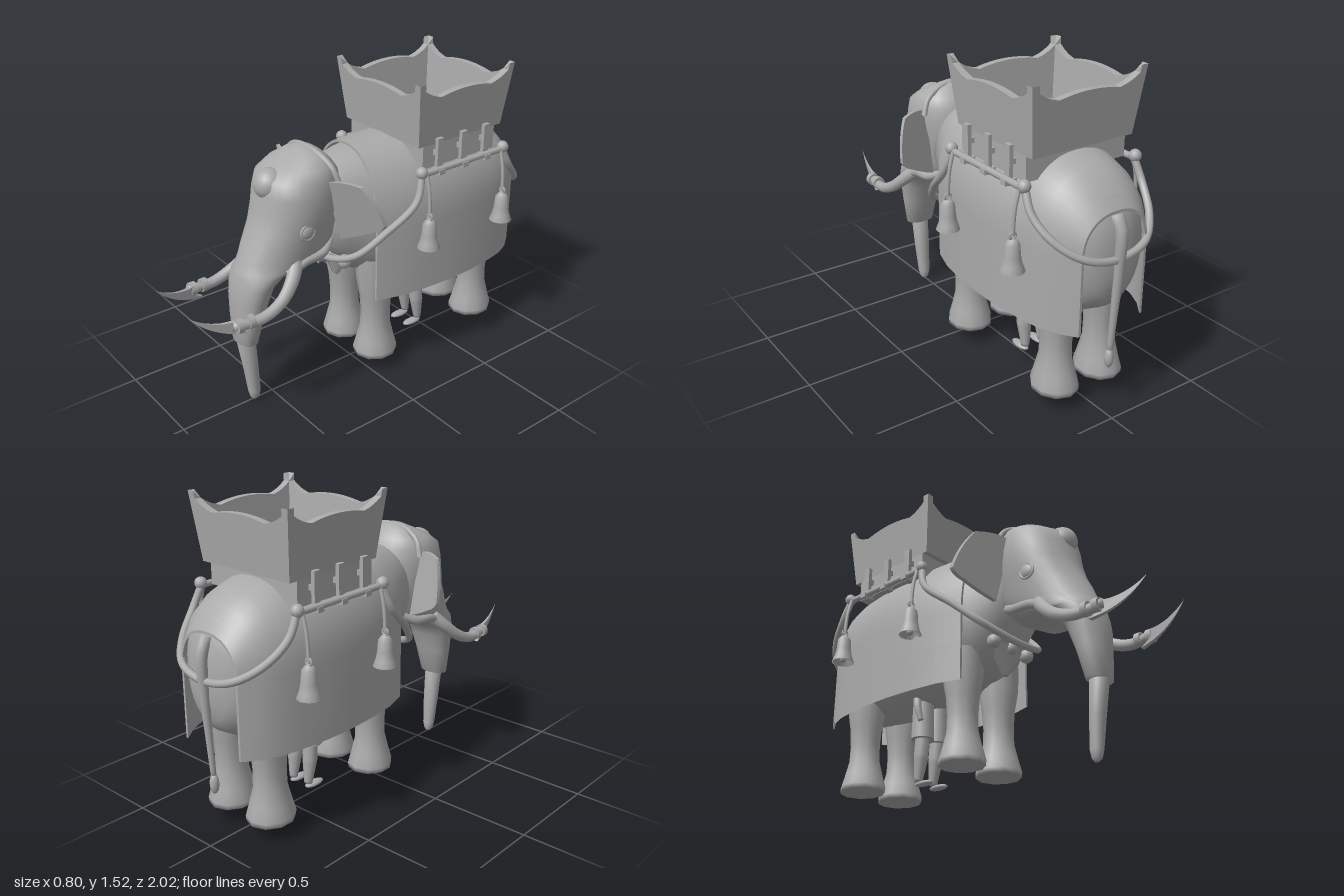
import * as THREE from 'three';

const V = (x, y, z) => new THREE.Vector3(x, y, z);
const stone = new THREE.MeshStandardMaterial({ color: 0xaaaaaa, side: THREE.DoubleSide });
stone.name = 'grey stone';

export function createModel() {
  const group = new THREE.Group();
  const add = (name, geo, x = 0, y = 0, z = 0) => {
    const m = new THREE.Mesh(geo, stone);
    m.name = name;
    m.position.set(x, y, z);
    group.add(m);
    return m;
  };
  // surface through rings of points, optionally closed around and capped
  const loft = (rings, closed = true) => {
    const n = rings[0].length, pos = [], idx = [];
    rings.forEach(r => r.forEach(p => pos.push(p.x, p.y, p.z)));
    const cols = closed ? n : n - 1;
    for (let i = 0; i < rings.length - 1; i++) for (let j = 0; j < cols; j++) {
      const a = i * n + j, b = i * n + (j + 1) % n;
      idx.push(a, b, a + n, b, b + n, a + n);
    }
    if (closed) [0, rings.length - 1].forEach((k, e) => {
      const c = rings[k].reduce((s, p) => s.add(p), V(0, 0, 0)).divideScalar(n);
      const ci = pos.length / 3;
      pos.push(c.x, c.y, c.z);
      for (let j = 0; j < n; j++) {
        const a = k * n + j, b = k * n + (j + 1) % n;
        e ? idx.push(a, b, ci) : idx.push(b, a, ci);
      }
    });
    const g = new THREE.BufferGeometry();
    g.setAttribute('position', new THREE.Float32BufferAttribute(pos, 3));
    g.setIndex(idx);
    g.computeVertexNormals();
    return g;
  };
  // rounded-box style ring, power 2 is an ellipse
  const oval = (n, power, place) => Array.from({ length: n }, (_, i) => {
    const a = i / n * Math.PI * 2, f = v => Math.sign(v) * Math.abs(v) ** (2 / power);
    return place(f(Math.cos(a)), f(Math.sin(a)));
  });
  const tube = (name, pts, r, seg = 30) =>
    add(name, new THREE.TubeGeometry(new THREE.CatmullRomCurve3(pts), seg, r, 8));
  // tube whose radius shrinks along its length
  const taper = (name, pts, radii) => {
    const curve = new THREE.CatmullRomCurve3(pts), rings = [];
    const frames = curve.computeFrenetFrames(20);
    for (let i = 0; i <= 20; i++) {
      const t = i / 20 * (radii.length - 1), k = Math.min(Math.floor(t), radii.length - 2);
      const r = radii[k] + (radii[k + 1] - radii[k]) * (t - k), c = curve.getPointAt(i / 20);
      rings.push(oval(10, 2, (u, v) => c.clone()
        .addScaledVector(frames.normals[i], u * r).addScaledVector(frames.binormals[i], v * r)));
    }
    return add(name, loft(rings));
  };

  // body: z, half width, top, bottom
  const body = [[0.22, 0.15, 1.15, 0.76], [0.13, 0.18, 1.17, 0.66], [0.04, 0.22, 1.19, 0.56],
    [-0.1, 0.265, 1.2, 0.5], [-0.4, 0.295, 1.205, 0.48], [-0.62, 0.285, 1.19, 0.48], [-0.75, 0.265, 1.165, 0.48],
    [-0.85, 0.235, 1.115, 0.5], [-0.92, 0.185, 1.05, 0.54], [-0.96, 0.12, 0.97, 0.6], [-0.975, 0.05, 0.87, 0.7]];
  add('body', loft(body.map(([z, w, t, b]) =>
    oval(32, 2.2, (u, v) => V(u * w, (t + b) / 2 + v * (t - b) / 2, z)))));

  // blanket: arch over the back, then straight sides
  const cloth = [[0.03, 0.245, 1.215], [-0.1, 0.285, 1.215], [-0.25, 0.304, 1.215], [-0.4, 0.312, 1.213],
    [-0.55, 0.308, 1.203], [-0.7, 0.29, 1.183], [-0.8, 0.27, 1.15], [-0.88, 0.235, 1.1], [-0.955, 0.18, 1.0]];
  const arch = inset => cloth.map(([z, w, t]) => {
    const ring = [V(-w + inset, 0.46, z), V(-w + inset, 0.65, z)];
    for (let i = 0; i <= 24; i++) {
      const a = Math.PI * (1 - i / 24), f = v => Math.sign(v) * Math.abs(v) ** 0.88;
      ring.push(V(f(Math.cos(a)) * (w - inset), 0.82 + f(Math.sin(a)) * (t - inset - 0.82), z));
    }
    return ring.concat(V(w - inset, 0.65, z), V(w - inset, 0.46, z));
  });
  const outer = arch(0), inner = arch(0.012);
  add('blanket', loft(outer, false));
  add('blanketLining', loft(inner, false));
  add('blanketFrontHem', loft([outer[0], inner[0]], false));
  add('blanketRearHem', loft([outer.at(-1), inner.at(-1)], false));

  // head and trunk: y, front z, back z, half width
  const head = [[1.255, 0.3, 0.23, 0.05], [1.235, 0.34, 0.2, 0.11], [1.195, 0.43, 0.16, 0.165],
    [1.15, 0.5, 0.13, 0.192], [1.08, 0.52, 0.12, 0.2], [1.0, 0.533, 0.12, 0.2], [0.92, 0.562, 0.12, 0.185],
    [0.85, 0.6, 0.13, 0.172], [0.78, 0.63, 0.16, 0.16], [0.735, 0.655, 0.25, 0.148], [0.71, 0.663, 0.42, 0.142],
    [0.66, 0.675, 0.49, 0.13], [0.6, 0.685, 0.515, 0.118], [0.5, 0.688, 0.55, 0.1], [0.36, 0.685, 0.585, 0.076]];
  const tip = [[0.365, 0.68, 0.588, 0.043], [0.2, 0.652, 0.58, 0.04], [0.05, 0.633, 0.572, 0.03], [0.015, 0.625, 0.578, 0.022], [0, 0.612, 0.588, 0.01]];
  const stack = rows => loft(rows.map(([y, f, b, w]) =>
    oval(28, 2.15, (u, v) => V(u * w, y, (f + b) / 2 + v * (f - b) / 2))));
  add('headAndTrunk', stack(head));
  add('trunkTip', stack(tip));
  add('foreheadBump', new THREE.SphereGeometry(0.075, 20, 14), 0, 1.12, 0.463);
  tube('headBand', [V(-0.2, 1.12, 0.22), V(-0.17, 1.19, 0.235), V(-0.09, 1.238, 0.25), V(0, 1.25, 0.255),
    V(0.09, 1.238, 0.25), V(0.17, 1.19, 0.235), V(0.2, 1.12, 0.22)], 0.014);

  const earShape = new THREE.Shape();
  earShape.moveTo(0.17, 1.13);
  earShape.quadraticCurveTo(0.24, 1.16, 0.33, 1.14);
  earShape.quadraticCurveTo(0.385, 1.06, 0.397, 0.95);
  earShape.quadraticCurveTo(0.38, 0.92, 0.34, 0.905);
  earShape.quadraticCurveTo(0.26, 0.86, 0.18, 0.83);

  // ropes of the harness
  tube('frontRope', [V(0.3, 1.1, -0.19), V(0.325, 0.97, -0.14), V(0.285, 0.84, 0.01), V(0.2, 0.72, 0.14), V(0, 0.67, 0.19),
    V(-0.2, 0.72, 0.14), V(-0.285, 0.84, 0.01), V(-0.325, 0.97, -0.14), V(-0.3, 1.1, -0.19)], 0.018, 60);
  tube('rearRope', [V(0.3, 1.1, -0.72), V(0.305, 0.99, -0.78), V(0.26, 0.89, -0.88), V(0.16, 0.82, -0.965), V(0, 0.79, -0.985),
    V(-0.16, 0.82, -0.965), V(-0.26, 0.89, -0.88), V(-0.305, 0.99, -0.78), V(-0.3, 1.1, -0.72)], 0.018, 60);
  // chest ornament
  const pendant = add('chestPendant', new THREE.CylinderGeometry(0.11, 0.02, 0.14, 6), 0, 0.6, 0.095);
  pendant.scale.z = 0.55;
  for (const x of [-0.12, 0, 0.12])
    add('chestBead', new THREE.SphereGeometry(0.035, 12, 8), x, 0.66, 0.13);

  taper('tail', [V(0, 0.98, -0.95), V(0, 0.92, -0.985), V(0, 0.75, -0.985), V(0, 0.5, -0.97), V(0, 0.34, -0.96)], [0.03, 0.024, 0.018, 0.013]);
  add('tailTuft', new THREE.SphereGeometry(0.022, 10, 10), 0, 0.295, -0.957).scale.y = 2.2;

  const blade = new THREE.Shape();
  blade.moveTo(0.79, 0.62);
  blade.quadraticCurveTo(0.9, 0.61, 1, 0.69);
  blade.quadraticCurveTo(0.9, 0.565, 0.74, 0.545);
  blade.lineTo(0.79, 0.575);

  const bell = new THREE.LatheGeometry([[0.001, 0.87], [0.018, 0.865], [0.033, 0.845], [0.037, 0.79], [0.045, 0.75], [0.057, 0.72], [0.05, 0.72], [0.03, 0.79], [0.001, 0.83]]
    .map(p => new THREE.Vector2(p[0], p[1])), 16);
  const legProfile = [[0.001, 0.08], [0.113, 0.085], [0.115, 0.11], [0.098, 0.17], [0.078, 0.25], [0.076, 0.33], [0.083, 0.42], [0.1, 0.52], [0.105, 0.65]]
    .map(p => new THREE.Vector2(p[0], p[1]));

  for (const s of [1, -1]) {
    // legs
    for (const [z, w] of [[-0.06, 1], [-0.745, 1.04]]) {
      const leg = add(z > -0.5 ? 'frontLeg' : 'hindLeg', new THREE.LatheGeometry(legProfile, 10), s * 0.128, 0, z);
      leg.scale.set(0.95, 1, w);
    }
    // ear, swept back towards its edge
    const ear = new THREE.ExtrudeGeometry(earShape, { depth: 0.022, bevelEnabled: false, curveSegments: 8 });
    const p = ear.attributes.position;
    for (let i = 0; i < p.count; i++) {
      const x = p.getX(i), y = p.getY(i);
      p.setXYZ(i, s * x, y, p.getZ(i) + 0.225 - (x - 0.17) * 0.5 + (y - 1) * 0.25);
    }
    ear.computeVertexNormals();
    if (s < 0) { // keep the outward face order after mirroring
      for (let i = 0; i < p.count; i += 3) {
        const a = V().fromBufferAttribute(p, i), b = V().fromBufferAttribute(p, i + 1);
        p.setXYZ(i, b.x, b.y, b.z);
        p.setXYZ(i + 1, a.x, a.y, a.z);
      }
      ear.computeVertexNormals();
    }
    add('ear', ear);
    // eye
    const eye = add('eye', new THREE.SphereGeometry(0.036, 16, 10), s * 0.176, 0.92, 0.385);
    eye.scale.x = 0.5;
    const lid = add('eyeRim', new THREE.TorusGeometry(0.037, 0.007, 6, 20), s * 0.18, 0.92, 0.385);
    lid.rotation.y = Math.PI / 2;
    // lip and tusk
    tube('lip', [V(s * 0.1, 0.81, 0.2), V(s * 0.145, 0.77, 0.28), V(s * 0.15, 0.76, 0.38), V(s * 0.145, 0.72, 0.48)], 0.024);
    taper('tusk', [V(s * 0.13, 0.76, 0.42), V(s * 0.175, 0.7, 0.475), V(s * 0.205, 0.63, 0.56), V(s * 0.21, 0.59, 0.67), V(s * 0.2, 0.6, 0.81)], [0.036, 0.03, 0.027, 0.023]);
    for (const z of [0.725, 0.785]) {
      const ring = add('tuskRing', new THREE.CylinderGeometry(0.033, 0.033, 0.03, 10), s * 0.205, 0.597, z);
      ring.rotation.x = Math.PI / 2;
    }
    const bg = new THREE.ExtrudeGeometry(blade, { depth: 0.026, bevelEnabled: false });
    bg.translate(0, 0, -0.013).rotateY(-Math.PI / 2);
    const q = bg.attributes.position;
    for (let i = 0; i < q.count; i++) {
      const k = (q.getZ(i) - 0.74) / 0.26;
      q.setX(i, q.getX(i) * (1 - k) + s * (0.2 - 0.05 * k));
    }
    bg.computeVertexNormals();
    add('tuskBlade', bg);

    // saddle rail, brackets and hanging bells
    tube('saddleRail', [V(s * 0.305, 1.09, -0.18), V(s * 0.305, 1.09, -0.74)], 0.016, 2);
    for (const z of [-0.3, -0.455, -0.605]) {
      add('bracketPost', new THREE.BoxGeometry(0.02, 0.18, 0.035), s * 0.295, 1.155, z);
      add('bracketFoot', new THREE.BoxGeometry(0.06, 0.025, 0.035), s * 0.295, 1.08, z);
      add('bracketArm', new THREE.BoxGeometry(0.05, 0.025, 0.035), s * 0.28, 1.17, z);
    }
    for (const z of [-0.21, -0.705]) {
      tube('bellCord', [V(s * 0.31, 1.1, z), V(s * 0.335, 1, z), V(s * 0.345, 0.88, z)], 0.009, 8);
      add('cordKnot', new THREE.SphereGeometry(0.03, 10, 8), s * 0.305, 1.1, z + (z > -0.5 ? 0.025 : -0.02));
      add('bellLoop', new THREE.TorusGeometry(0.016, 0.006, 6, 12), s * 0.345, 0.882, z);
      add('bell', bell, s * 0.345, 0, z);
      add('bellClapper', new THREE.SphereGeometry(0.017, 10, 8), s * 0.345, 0.735, z);
    }
    // attendant under the belly
    taper('attendantLeg', [V(s * 0.05, 0.34, -0.405), V(s * 0.05, 0.24, -0.41), V(s * 0.05, 0.1, -0.425)], [0.036, 0.036, 0.02]);
    add('attendantBreeches', new THREE.CylinderGeometry(0.052, 0.058, 0.22, 12), s * 0.05, 0.42, -0.405);
    const foot = add('attendantFoot', new THREE.SphereGeometry(0.028, 12, 8), s * 0.05, 0.083, -0.385);
    foot.scale.set(0.9, 0.5, 2.1);
    taper('attendantArm', [V(s * 0.1, 0.54, -0.4), V(s * 0.11, 0.46, -0.385), V(s * 0.1, 0.39, -0.37)], [0.022, 0.02, 0.014]);
  }

  // seat box: pad, floor and four flared walls
  add('saddlePad', new THREE.BoxGeometry(0.54, 0.12, 0.47), 0, 1.155, -0.455);
  add('seatFloor', new THREE.BoxGeometry(0.53, 0.025, 0.53), 0, 1.222, -0.462);
  const wallShape = new THREE.Shape();
  wallShape.moveTo(-0.27, 0);
  wallShape.lineTo(0.27, 0);
  wallShape.lineTo(0.305, 0.315);
  wallShape.quadraticCurveTo(0.24, 0.25, 0.16, 0.235);
  wallShape.quadraticCurveTo(0, 0.27, -0.16, 0.235);
  wallShape.quadraticCurveTo(-0.24, 0.25, -0.305, 0.315);
  for (let i = 0; i < 4; i++) {
    const g = new THREE.ExtrudeGeometry(wallShape, { depth: 0.035, bevelEnabled: false });
    const p = g.attributes.position;
    for (let j = 0; j < p.count; j++) p.setZ(j, p.getZ(j) + 0.235 + p.getY(j) / 9);
    g.computeVertexNormals();
    add('seatWall', g, 0, 1.21, -0.462).rotation.y = i * Math.PI / 2;
  }
  return group;
}
